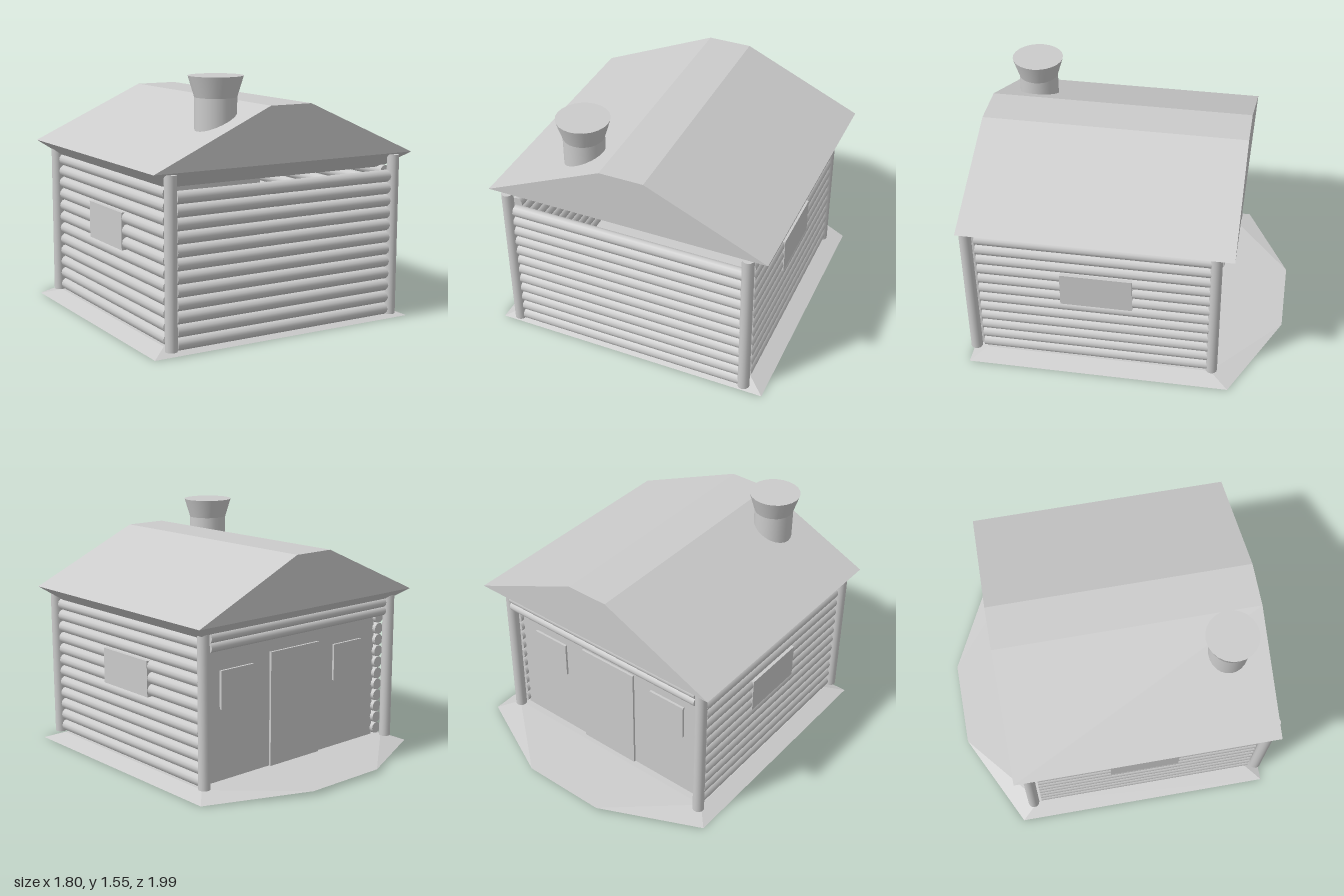
import * as THREE from 'three';
import { ConvexGeometry } from 'three/addons/geometries/ConvexGeometry.js';

export function createModel() {
  const model = new THREE.Group();
  model.name = 'logCabin';
  const smooth = new THREE.MeshStandardMaterial({ color: 0xcccccc });
  const flat = new THREE.MeshStandardMaterial({ color: 0xcccccc, flatShading: true });

  function add(name, geometry, material, x = 0, y = 0, z = 0, parent = model) {
    const mesh = new THREE.Mesh(geometry, material);
    mesh.name = name;
    mesh.position.set(x, y, z);
    parent.add(mesh);
    return mesh;
  }
  function group(name) {
    const g = new THREE.Group();
    g.name = name;
    model.add(g);
    return g;
  }
  // Closed solid mirrored across x from points on the left half
  function mirroredSolid(points) {
    const all = points.flatMap(([x, y, z]) => [
      new THREE.Vector3(x, y, z), new THREE.Vector3(-x, y, z)]);
    return new ConvexGeometry(all);
  }

  // Floor slab with bevelled edges and an angled porch at the back
  add('floor', mirroredSolid([
    [0.9, 0, 0.98], [0.9, 0, -0.69], [0.28, 0.023, -0.995],
    [0.79, 0.038, 0.88], [0.79, 0.038, -0.57],
  ]), flat);

  // Roof with a flat ridge, vertical gables and bevelled eaves
  add('roof', mirroredSolid([
    [0.9, 1.05, 0.98], [0.9, 1.05, -0.69],
    [0.14, 1.39, 0.98], [0.14, 1.39, -0.69],
    [0.77, 0.95, 0.85], [0.77, 0.95, -0.56],
  ]), flat);

  // Chimney pipe and flared cap
  const chimney = group('chimney');
  add('chimneyPipe', new THREE.CylinderGeometry(0.125, 0.125, 0.36, 24, 1, true), smooth, -0.36, 1.25, 0.73, chimney);
  add('chimneyCap', new THREE.CylinderGeometry(0.163, 0.125, 0.125, 24), smooth, -0.36, 1.4925, 0.73, chimney);

  // Corner posts
  const posts = group('cornerPosts');
  const post = new THREE.CylinderGeometry(0.037, 0.037, 1.01, 16);
  add('frontLeftPost', post, smooth, 0.775, 0.535, 0.96, posts);
  add('frontRightPost', post, smooth, -0.785, 0.535, 0.96, posts);
  add('backLeftPost', post, smooth, 0.775, 0.545, -0.575, posts);
  add('backRightPost', post, smooth, -0.793, 0.545, -0.603, posts);

  // Log walls on the front and both sides
  const walls = group('logWalls');
  const frontLog = new THREE.CylinderGeometry(0.038, 0.038, 1.5, 12);
  const sideLog = new THREE.CylinderGeometry(0.038, 0.038, 1.45, 12);
  frontLog.rotateZ(Math.PI / 2);
  sideLog.rotateX(Math.PI / 2);
  for (let i = 0; i < 12; i++) {
    add('frontLog', frontLog, smooth, 0, 0.062 + i * 0.0768, 0.945, walls);
    for (const side of [-1, 1])
      add('sideLog', sideLog, smooth, side * 0.765, 0.082 + i * 0.0768, 0.175, walls);
  }

  // Short stack of logs over the back wall
  const lintelLog = new THREE.CylinderGeometry(0.032, 0.032, 1.5, 12);
  lintelLog.rotateZ(Math.PI / 2);
  for (let i = 0; i < 3; i++)
    add('lintelLog', lintelLog, smooth, 0, 0.905 + i * 0.056, -0.59, walls);

  // Flat back wall with door and windows
  add('backWall', new THREE.BoxGeometry(1.48, 0.94, 0.03), flat, 0, 0.5, -0.51);
  add('door', new THREE.BoxGeometry(0.42, 0.74, 0.03), flat, -0.005, 0.405, -0.525);
  for (const side of [-1, 1]) {
    add('backWindow', new THREE.BoxGeometry(0.26, 0.24, 0.03), flat, side * 0.48, 0.61, -0.525);
    add('sideWindow', new THREE.BoxGeometry(0.05, 0.23, 0.45), flat, side * 0.78, 0.615, 0.155);
  }

  return model;
}
